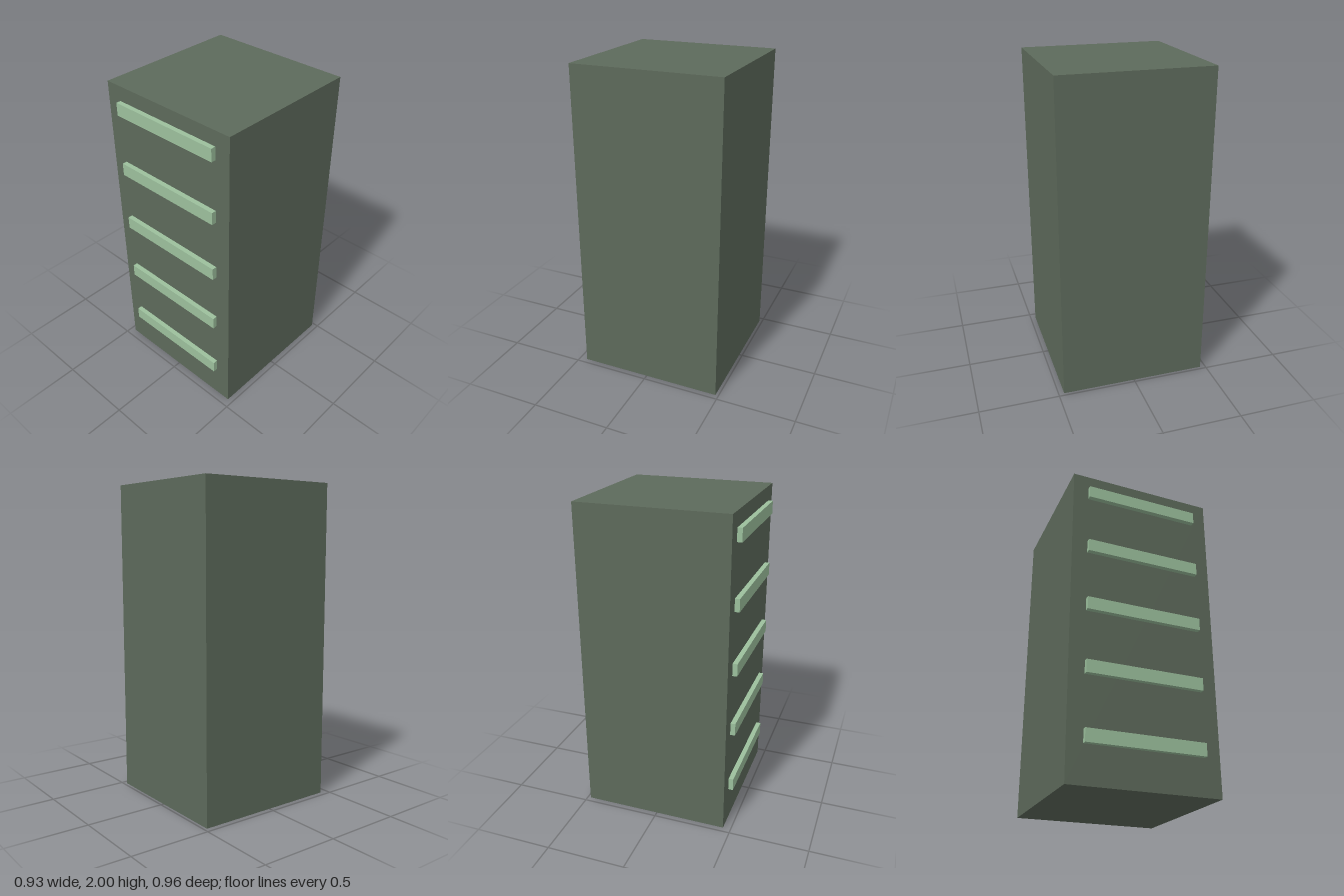
import * as THREE from 'three';

export function createModel() {
  const model = new THREE.Group();
  model.name = 'drawerCabinet';

  const bodyMaterial = new THREE.MeshStandardMaterial({ color: 0x5d6a5b });
  const handleMaterial = new THREE.MeshStandardMaterial({ color: 0x9cc09d });

  // Cabinet body, set back to leave room for the handles
  const body = new THREE.Mesh(new THREE.BoxGeometry(0.93, 2, 0.93), bodyMaterial);
  body.name = 'cabinetBody';
  body.position.set(0, 1, -0.015);
  model.add(body);

  // Five evenly spaced drawer handles, slightly sunk into the front
  const handleGeometry = new THREE.BoxGeometry(0.734, 0.08, 0.06);
  for (let i = 0; i < 5; i++) {
    const handle = new THREE.Mesh(handleGeometry, handleMaterial);
    handle.name = `drawerHandle${i + 1}`;
    handle.position.set(0, 0.268 + i * 0.4, 0.45);
    model.add(handle);
  }

  return model;
}
